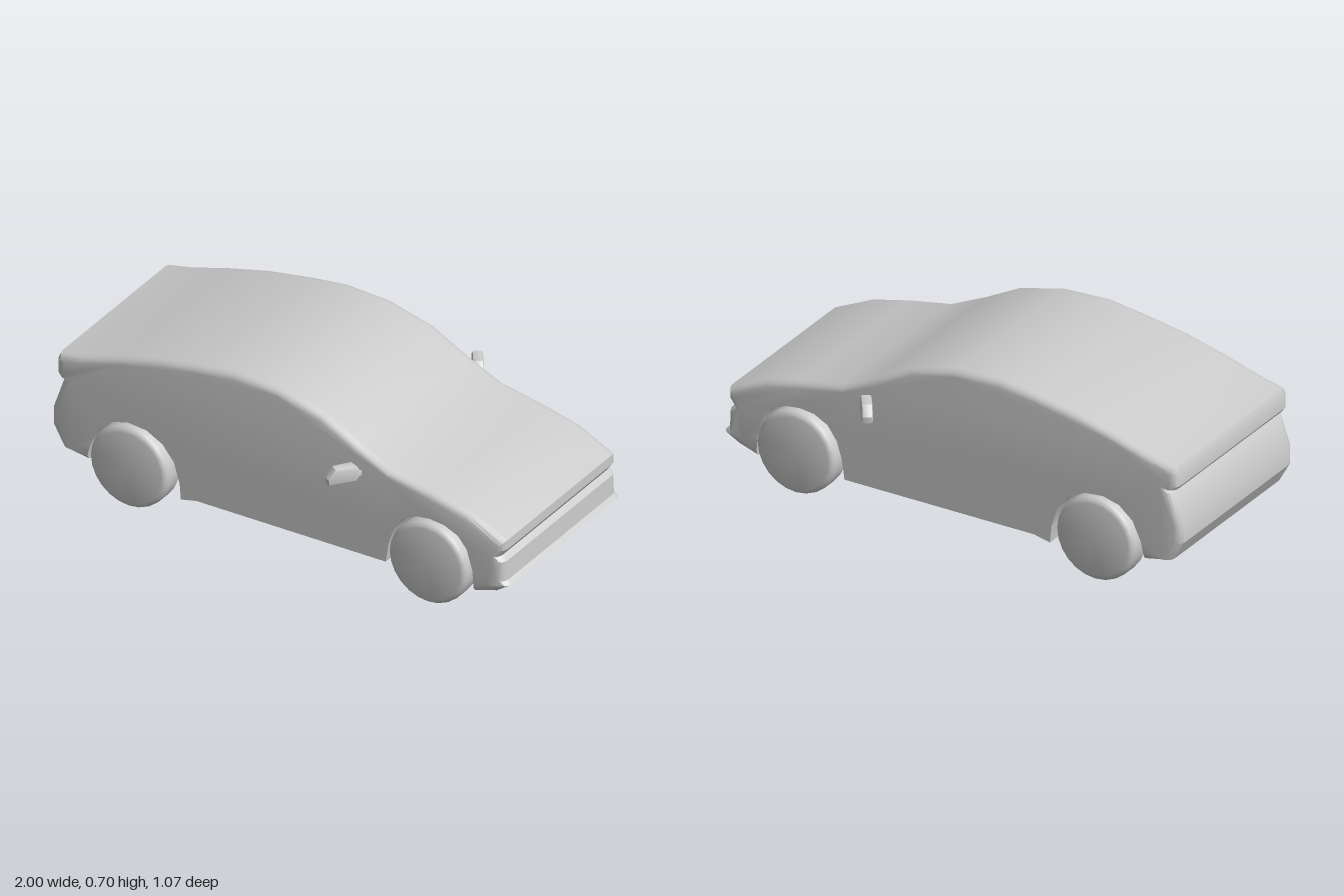
import * as THREE from 'three';
import { toCreasedNormals } from 'three/addons/utils/BufferGeometryUtils.js';

const material = new THREE.MeshStandardMaterial({ color: 0xcccccc });

function addMesh(parent, name, geometry, crease = 0.6) {
  const mesh = new THREE.Mesh(toCreasedNormals(geometry, crease), material);
  mesh.name = name;
  parent.add(mesh);
  return mesh;
}

// Side outline, clockwise from the tail: roof and hood, then nose, arches, floor and tail
const roof = [
  [-0.97, 0.54], [-0.87, 0.56], [-0.7, 0.61], [-0.54, 0.65], [-0.36, 0.68], [-0.2, 0.7],
  [-0.01, 0.69], [0.18, 0.64], [0.33, 0.56], [0.48, 0.49], [0.66, 0.455], [0.82, 0.415], [0.98, 0.34],
];
const lower = [
  // nose and front lip
  [0.98, 0.3], [0.957, 0.268], [0.978, 0.25], [0.982, 0.17], [1, 0.155], [0.94, 0.112], [0.85, 0.085],
  // front arch
  [0.845, 0.18], [0.82, 0.265], [0.78, 0.312], [0.72, 0.338], [0.66, 0.345], [0.6, 0.338],
  [0.54, 0.307], [0.5, 0.25], [0.478, 0.18], [0.467, 0.1],
  // floor
  [-0.36, 0.1], [-0.43, 0.085],
  // rear arch
  [-0.435, 0.15], [-0.46, 0.235], [-0.51, 0.297], [-0.58, 0.335], [-0.66, 0.343], [-0.73, 0.325],
  [-0.79, 0.275], [-0.825, 0.2], [-0.838, 0.12],
  // tail and groove below the spoiler
  [-0.955, 0.15], [-1, 0.23], [-1, 0.3], [-0.955, 0.43], [-0.935, 0.45], [-0.97, 0.445], [-0.98, 0.46], [-0.98, 0.515],
];

// Body: the outline lofted across the width, with roof, nose and tail edges rounded inwards
function bodyGeometry() {
  const outline = [
    ...roof.map(([x, y]) => ({ x, y, dy: -0.03 })),
    ...lower.map(([x, y]) => ({ x, y, dy: Math.abs(x) > 0.83 && y < 0.13 ? 0.03 : 0 })),
  ].reverse();
  outline.forEach((p) => { p.dx = Math.abs(p.x) > 0.9 ? -0.03 * Math.sign(p.x) : 0; });

  const steps = 4, rings = [];
  for (let i = 0; i <= steps; i++) {
    const a = (i / steps) * Math.PI / 2;
    const ring = { z: 0.36 + 0.037 * Math.sin(a), t: 1 - Math.cos(a) };
    rings.push(ring);
    rings.unshift({ z: -ring.z, t: ring.t });
  }

  const n = outline.length, positions = [], index = [];
  for (const { z, t } of rings) {
    for (const p of outline) positions.push(p.x + p.dx * t, p.y + p.dy * t, z);
  }
  for (let r = 0; r < rings.length - 1; r++) {
    for (let i = 0; i < n; i++) {
      const a = r * n + i, b = r * n + (i + 1) % n;
      index.push(a, b, a + n, b, b + n, a + n);
    }
  }
  // flat sides
  const last = (rings.length - 1) * n;
  const contour = outline.map((p) => new THREE.Vector2(p.x + p.dx, p.y + p.dy));
  for (const [a, b, c] of THREE.ShapeUtils.triangulateShape(contour, [])) {
    index.push(last + a, last + b, last + c, a, c, b);
  }
  const geometry = new THREE.BufferGeometry();
  geometry.setAttribute('position', new THREE.Float32BufferAttribute(positions, 3));
  geometry.setIndex(index);
  return geometry;
}

// Wheel: solid disc with a rounded tread edge
function wheelGeometry() {
  const half = [[0.17, 0.033], [0.167, 0.044], [0.158, 0.053], [0.148, 0.056], [0, 0.056]];
  const points = [...half.map(([r, y]) => [r, -y]).reverse(), ...half];
  return new THREE.LatheGeometry(points.map(([r, y]) => new THREE.Vector2(r, y)), 24).rotateX(Math.PI / 2);
}

// Mirror head: tapered outline, swept back from the body; built for the +z side
function mirrorHeadGeometry() {
  const shape = new THREE.Shape([
    [-0.052, -0.026], [0.05, -0.03], [0.058, 0.01], [0.042, 0.026], [-0.028, 0.026], [-0.054, -0.008],
  ].map(([x, y]) => new THREE.Vector2(x, y)));
  const geometry = new THREE.ExtrudeGeometry(shape, {
    depth: 0.02, bevelThickness: 0.011, bevelSize: 0.008, bevelOffset: -0.001, bevelSegments: 2,
  });
  return geometry.translate(0, 0, -0.01).rotateY(Math.atan2(0.1, 0.07)).translate(0.322, 0.473, 0.475);
}

// Mirrored copy across the car's length, with its faces turned the right way out
function flipZ(geometry) {
  const g = geometry.index ? geometry.toNonIndexed() : geometry;
  g.scale(1, 1, -1);
  const p = g.attributes.position;
  for (let i = 0; i < p.count; i += 3) {
    const b = new THREE.Vector3().fromBufferAttribute(p, i + 1);
    p.setXYZ(i + 1, p.getX(i + 2), p.getY(i + 2), p.getZ(i + 2));
    p.setXYZ(i + 2, b.x, b.y, b.z);
  }
  return g;
}

export function createModel() {
  const car = new THREE.Group();
  car.name = 'car';
  addMesh(car, 'body', bodyGeometry(), 0.5);

  for (const side of [1, -1]) {
    for (const [name, x] of [['frontWheel', 0.665], ['rearWheel', -0.642]]) {
      addMesh(car, name, wheelGeometry()).position.set(x, 0.17, side * 0.375);
    }
    const mirror = new THREE.Group();
    mirror.name = 'sideMirror';
    car.add(mirror);
    const head = mirrorHeadGeometry();
    addMesh(mirror, 'mirrorHead', side > 0 ? head : flipZ(head));
    addMesh(mirror, 'mirrorStem', new THREE.BoxGeometry(0.016, 0.016, 0.06)).position.set(0.355, 0.452, side * 0.415);
  }
  return car;
}
